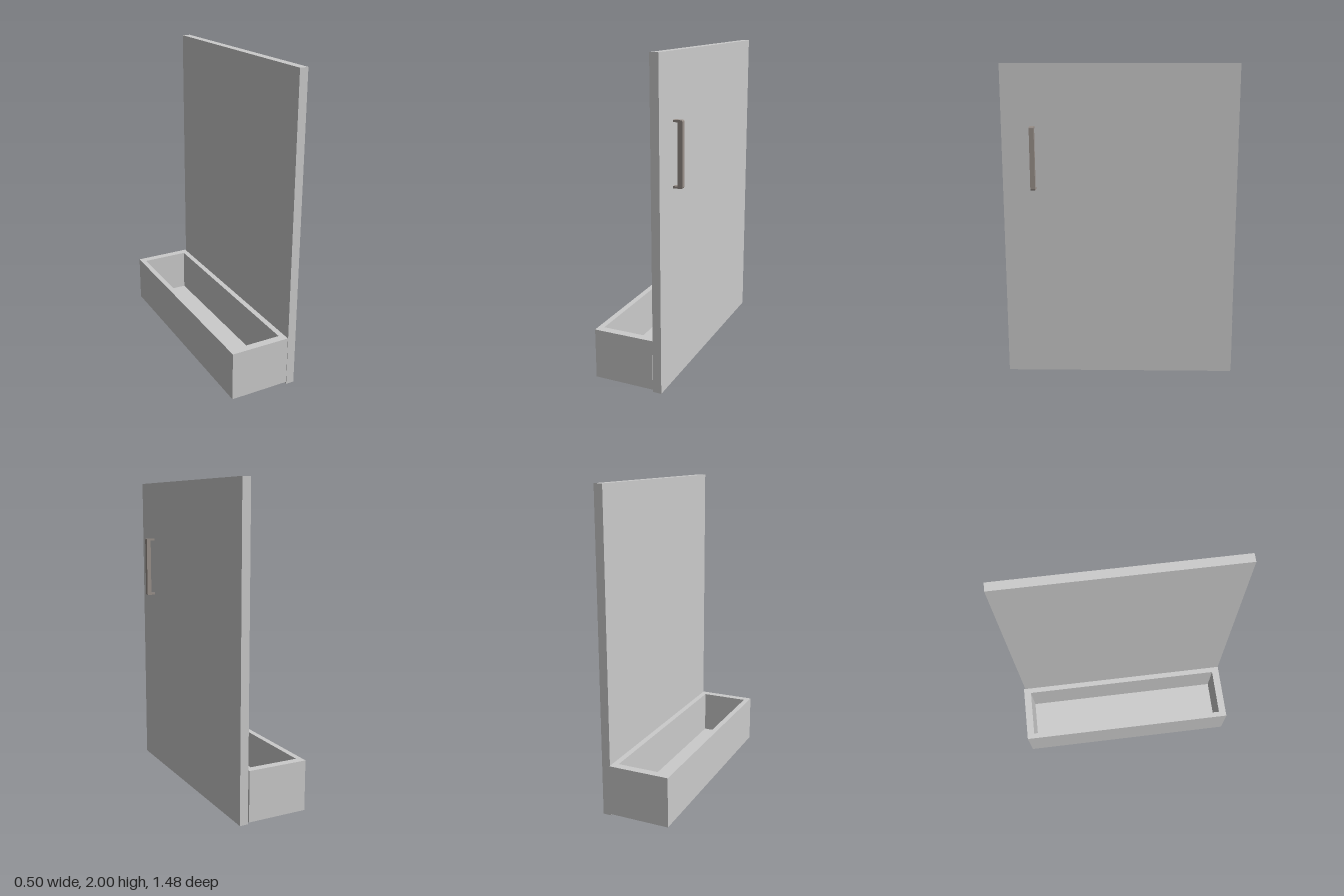
import * as THREE from 'three';

const grey = new THREE.MeshStandardMaterial({ color: 0xcccccc });
const metal = new THREE.MeshStandardMaterial({ color: 0x99908a });

// Box given by its minimum and maximum corners
function block(name, min, max) {
  const size = max.map((v, i) => v - min[i]);
  const mesh = new THREE.Mesh(new THREE.BoxGeometry(...size), grey);
  mesh.position.set(...max.map((v, i) => (v + min[i]) / 2));
  mesh.name = name;
  return mesh;
}

// Open-topped tray: a rim extruded upwards around a floor
function createTray() {
  const x0 = -0.252, x1 = 0.136, z = 0.74, y0 = 0.015, y1 = 0.333;
  const ix0 = -0.216, ix1 = 0.1, iz = 0.69;
  const rect = (P, a, b, h) => {
    const p = new P();
    p.moveTo(a, -h);
    p.lineTo(b, -h);
    p.lineTo(b, h);
    p.lineTo(a, h);
    p.closePath();
    return p;
  };
  const outline = rect(THREE.Shape, x0, x1, z);
  outline.holes.push(rect(THREE.Path, ix0, ix1, iz));
  const geometry = new THREE.ExtrudeGeometry(outline, { depth: y1 - y0, bevelEnabled: false });
  geometry.rotateX(-Math.PI / 2);
  geometry.translate(0, y0, 0);
  const walls = new THREE.Mesh(geometry, grey);
  walls.name = 'trayWalls';
  const tray = new THREE.Group();
  tray.name = 'tray';
  tray.add(walls, block('trayFloor', [ix0, y0, -iz], [ix1, y0 + 0.03, iz]));
  return tray;
}

// Bracket-shaped pull handle with rounded outer corners
function createHandle() {
  const x0 = 0.19, x1 = 0.249, y0 = 1.225, y1 = 1.62, r = 0.01;
  const leg = 0.013, inner = 0.22, width = 0.03;
  const s = new THREE.Shape();
  s.moveTo(x0, y0);
  s.lineTo(x1 - r, y0);
  s.quadraticCurveTo(x1, y0, x1, y0 + r);
  s.lineTo(x1, y1 - r);
  s.quadraticCurveTo(x1, y1, x1 - r, y1);
  s.lineTo(x0, y1);
  s.lineTo(x0, y1 - leg);
  s.lineTo(inner, y1 - leg);
  s.lineTo(inner, y0 + leg);
  s.lineTo(x0, y0 + leg);
  s.closePath();
  const geometry = new THREE.ExtrudeGeometry(s, { depth: width, bevelEnabled: false, curveSegments: 5 });
  const handle = new THREE.Mesh(geometry, metal);
  handle.position.z = 0.545 - width / 2;
  handle.name = 'handle';
  return handle;
}

export function createModel() {
  const model = new THREE.Group();
  model.name = 'drawer';
  model.add(block('frontPanel', [0.138, 0, -0.73], [0.192, 2, 0.74]), createTray(), createHandle());
  return model;
}
